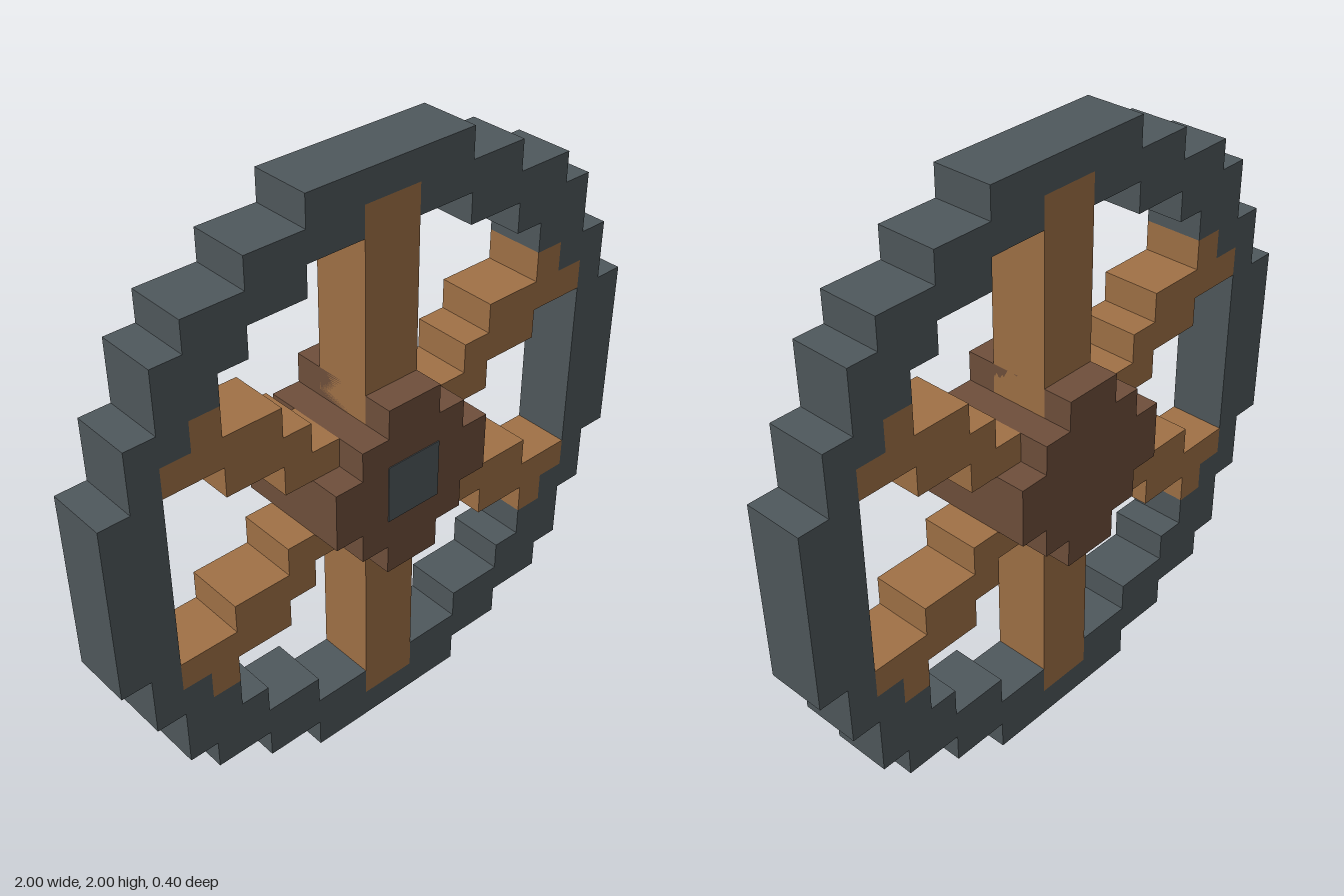
import * as THREE from 'three';

const material = (name, color) => {
  const m = new THREE.MeshStandardMaterial({ color });
  m.name = name;
  return m;
};

// Mirror one quadrant outline (from the +x axis to the +y axis) into a closed loop.
function mirrorQuadrant(points) {
  const back = [...points].reverse();
  return [
    ...points,
    ...back.map(([x, y]) => [-x, y]),
    ...points.map(([x, y]) => [-x, -y]),
    ...back.map(([x, y]) => [x, -y]),
  ].map(([x, y]) => new THREE.Vector2(x, y));
}

// Extrude a shape, centred on z = 0.
function slab(shape, depth) {
  const g = new THREE.ExtrudeGeometry(shape, { depth, bevelEnabled: false });
  return g.translate(0, 0, -depth / 2);
}

export function createModel() {
  const iron = material('dark iron', 0x4f585c);
  const wood = material('light wood', 0xa07146);
  const hubWood = material('dark wood', 0x6f4f3b);

  const wheel = new THREE.Group();
  wheel.name = 'wheel';
  wheel.position.y = 1;
  const add = (name, geometry, mat) => {
    const mesh = new THREE.Mesh(geometry, mat);
    mesh.name = name;
    wheel.add(mesh);
    return mesh;
  };

  // Stepped rim, notched on the inside where the spokes sink in
  const rim = new THREE.Shape(mirrorQuadrant([
    [1, 0.3], [0.9, 0.3], [0.9, 0.5], [0.8, 0.5], [0.8, 0.7], [0.7, 0.7],
    [0.7, 0.8], [0.5, 0.8], [0.5, 0.9], [0.3, 0.9], [0.3, 1],
  ]));
  rim.holes.push(new THREE.Path(mirrorQuadrant([
    [0.8, 0.4], [0.7, 0.4], [0.7, 0.5], [0.6, 0.5], [0.6, 0.6], [0.5, 0.6],
    [0.5, 0.7], [0.3, 0.7], [0.3, 0.8], [0.1, 0.8], [0.1, 0.9],
  ])));
  add('rim', slab(rim, 0.2), iron);

  // Upright spokes
  for (const side of [1, -1]) {
    const spoke = add('uprightSpoke', new THREE.BoxGeometry(0.2, 0.7, 0.2), wood);
    spoke.position.y = side * 0.55;
  }

  // Four stepped diagonal spokes
  const steps = [
    [0.2, 0.1], [0.4, 0.1], [0.4, 0.2], [0.6, 0.2], [0.6, 0.3], [0.8, 0.3], [0.8, 0.4],
    [0.7, 0.4], [0.7, 0.5], [0.6, 0.5], [0.6, 0.4], [0.4, 0.4], [0.4, 0.3],
    [0.3, 0.3], [0.3, 0.2], [0.2, 0.2],
  ];
  for (const sx of [1, -1]) {
    for (const sy of [1, -1]) {
      const outline = steps.map(([x, y]) => new THREE.Vector2(sx * x, sy * y));
      add('diagonalSpoke', slab(new THREE.Shape(outline), 0.2), wood);
    }
  }

  // Stepped hub with a thin iron axle cap on the front
  const hub = new THREE.Shape(mirrorQuadrant([
    [0.3, 0.1], [0.2, 0.1], [0.2, 0.2], [0.1, 0.2], [0.1, 0.3],
  ]));
  add('hub', slab(hub, 0.4), hubWood);
  add('axleCap', new THREE.BoxGeometry(0.2, 0.2, 0.006), iron).position.z = 0.2;

  const model = new THREE.Group();
  model.add(wheel);
  return model;
}
